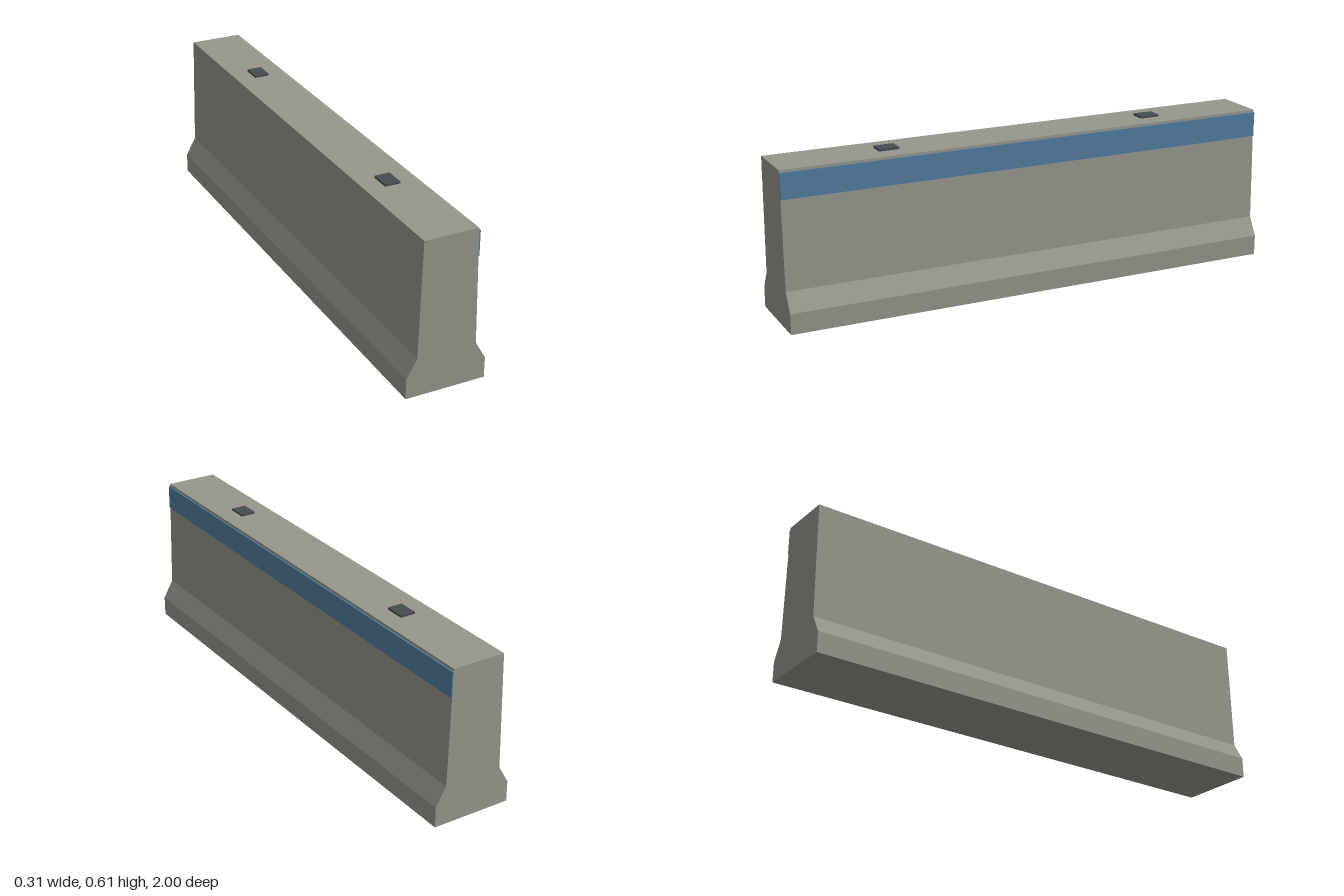
import * as THREE from 'three';

export function createModel() {
  const mat = (name, color) => {
    const m = new THREE.MeshStandardMaterial({ color });
    m.name = name;
    return m;
  };
  const concrete = mat('concrete grey', 0x96968d);
  const blue = mat('stripe blue', 0x527da0);
  const dark = mat('dark pad', 0x464c4f);

  const group = new THREE.Group();
  group.name = 'roadBarrier';
  const add = (name, geometry, material, x = 0, y = 0, z = 0) => {
    const mesh = new THREE.Mesh(geometry, material);
    mesh.name = name;
    mesh.position.set(x, y, z);
    group.add(mesh);
  };

  // Concrete body: half profile mirrored, extruded along z
  const half = [[0.157, 0], [0.157, 0.08], [0.116, 0.152], [0.105, 0.604]];
  const outline = [...half, ...half.map(([x, y]) => [-x, y]).reverse()];
  const body = new THREE.ExtrudeGeometry(
    new THREE.Shape(outline.map(([x, y]) => new THREE.Vector2(x, y))),
    { depth: 2, bevelEnabled: false });
  add('concreteBody', body, concrete, 0, 0, -1);

  // Blue stripe along the upper left side
  add('sideStripe', new THREE.BoxGeometry(0.006, 0.099, 2), blue, 0.108, 0.5445, 0);

  // Two small pads on the top
  for (const z of [-0.555, 0.555]) {
    add('topPad', new THREE.BoxGeometry(0.06, 0.009, 0.08), dark, 0, 0.6075, z);
  }
  return group;
}
